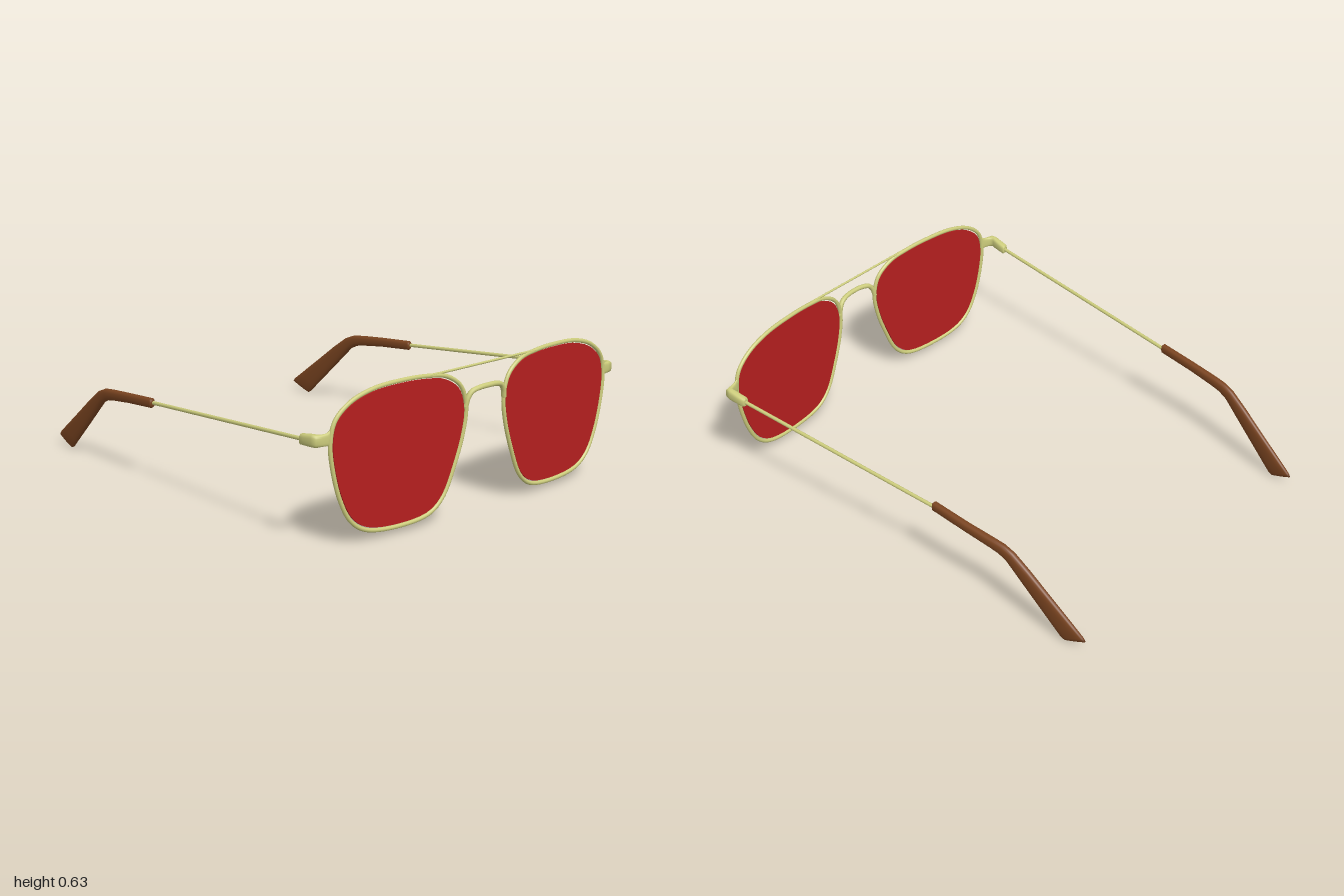
import * as THREE from 'three';

const V = (x, y, z) => new THREE.Vector3(x, y, z);
const gold = new THREE.MeshStandardMaterial({ color: 0xcccc7c });
const brown = new THREE.MeshStandardMaterial({ color: 0x7a4420 });
const red = new THREE.MeshStandardMaterial({ color: 0xb51f1f, side: THREE.DoubleSide });

// The front is swept back slightly towards the sides
const frontZ = (x) => 0.981 - 0.075 * Math.abs(x);

// Outline of one rim
const RIM = [
  [0.43, 0.624], [0.594, 0.613], [0.71, 0.575], [0.78, 0.514], [0.801, 0.43],
  [0.79, 0.326], [0.753, 0.195], [0.7, 0.1], [0.627, 0.051], [0.4625, 0.031],
  [0.298, 0.051], [0.228, 0.106], [0.167, 0.232], [0.124, 0.36], [0.111, 0.4625],
  [0.14, 0.55], [0.218, 0.603], [0.312, 0.619],
];

function add(group, name, geometry, material) {
  const mesh = new THREE.Mesh(geometry, material);
  mesh.name = name;
  group.add(mesh);
}

function tube(points, radius, closed = false, segments = 40) {
  const curve = new THREE.CatmullRomCurve3(points, closed, 'centripetal');
  return new THREE.TubeGeometry(curve, segments, radius, 10, closed);
}

// Skin over rounded-box sections { c, u, v }, with capped ends
function loft(sections, power = 0.7, n = 20) {
  const pos = [], index = [];
  const soft = (t) => Math.sign(t) * Math.abs(t) ** power;
  for (const { c, u, v } of sections) {
    for (let j = 0; j < n; j++) {
      const a = (j / n) * Math.PI * 2;
      const p = c.clone().addScaledVector(u, soft(Math.cos(a))).addScaledVector(v, soft(Math.sin(a)));
      pos.push(p.x, p.y, p.z);
    }
  }
  const last = sections.length - 1;
  for (let i = 0; i < last; i++) {
    for (let j = 0; j < n; j++) {
      const k = (j + 1) % n, a = i * n, b = a + n;
      index.push(a + j, a + k, b + k, a + j, b + k, b + j);
    }
  }
  for (let j = 1; j < n - 1; j++) {
    index.push(0, j + 1, j, last * n, last * n + j, last * n + j + 1);
  }
  const g = new THREE.BufferGeometry();
  g.setAttribute('position', new THREE.Float32BufferAttribute(pos, 3));
  g.setIndex(index);
  g.computeVertexNormals();
  return g;
}

// Thin lens following the rim outline just inside it
function lensGeometry(s) {
  const curve = new THREE.CatmullRomCurve3(RIM.map(([x, y]) =>
    V(s * (0.457 + (x - 0.457) * 0.965), 0.327 + (y - 0.327) * 0.962, 0)), true, 'centripetal');
  const shape = new THREE.Shape(curve.getPoints(80).slice(0, -1).map((p) => new THREE.Vector2(p.x, p.y)));
  const g = new THREE.ExtrudeGeometry(shape, { depth: 0.006, bevelEnabled: false });
  const p = g.attributes.position;
  for (let i = 0; i < p.count; i++) p.setZ(i, p.getZ(i) - 0.003 + frontZ(p.getX(i)));
  g.computeVertexNormals();
  return g;
}

// L-shaped end piece: out from the rim, then back to the temple
function hingeGeometry(s) {
  const rows = [ // x, y, z, turn in degrees, half height, half depth
    [0.797, 0.452, 0.919, 0, 0.034, 0.006],
    [0.815, 0.449, 0.916, 0, 0.025, 0.008],
    [0.838, 0.448, 0.91, 15, 0.024, 0.01],
    [0.856, 0.448, 0.902, 45, 0.025, 0.018],
    [0.857, 0.447, 0.885, 80, 0.026, 0.017],
    [0.852, 0.441, 0.84, 90, 0.023, 0.018],
    [0.849, 0.438, 0.815, 90, 0.022, 0.017],
    [0.848, 0.438, 0.809, 90, 0.016, 0.012],
  ];
  return loft(rows.map(([x, y, z, deg, h, d]) => {
    const t = THREE.MathUtils.degToRad(deg);
    return { c: V(s * x, y, z), u: V(0, h, 0), v: V(d * Math.sin(t), 0, s * d * Math.cos(t)) };
  }));
}

// Bent ear tip, flaring towards its end
function tipGeometry(s) {
  const rows = [ // top z, top y, bottom z, bottom y, half width
    [-0.217, 0.37, -0.217, 0.342, 0.01],
    [-0.223, 0.377, -0.223, 0.335, 0.016],
    [-0.4, 0.362, -0.4, 0.319, 0.017],
    [-0.53, 0.35, -0.525, 0.303, 0.018],
    [-0.59, 0.342, -0.57, 0.294, 0.018],
    [-0.64, 0.322, -0.61, 0.274, 0.018],
    [-0.72, 0.265, -0.67, 0.215, 0.018],
    [-0.82, 0.187, -0.75, 0.137, 0.017],
    [-0.94, 0.095, -0.845, 0.045, 0.015],
    [-0.988, 0.058, -0.88, 0.01, 0.012],
    [-1, 0.045, -0.895, 0.002, 0.006],
  ];
  const path = s > 0
    ? [[0.22, 0.762], [0.45, 0.761], [0.7, 0.742], [1, 0.721]]
    : [[0.22, 0.772], [0.45, 0.755], [0.7, 0.732], [1, 0.706]];
  const xAt = (d) => {
    let i = 0;
    while (i < 2 && d > path[i + 1][0]) i++;
    return THREE.MathUtils.mapLinear(d, path[i][0], path[i + 1][0], path[i][1], path[i + 1][1]);
  };
  return loft(rows.map(([tz, ty, bz, by, w]) => {
    const top = V(s * xAt(-tz), ty, tz), bottom = V(s * xAt(-bz), by, bz);
    return {
      c: top.clone().add(bottom).multiplyScalar(0.5),
      u: V(-w, 0, 0),
      v: top.sub(bottom).multiplyScalar(0.5),
    };
  }), 0.8);
}

export function createModel() {
  const model = new THREE.Group();
  model.name = 'glasses';

  for (const s of [1, -1]) {
    const side = s > 0 ? 'left' : 'right';
    add(model, side + 'Rim', tube(RIM.map(([x, y]) => V(s * x, y, frontZ(x))), 0.009, true, 120), gold);
    add(model, side + 'Lens', lensGeometry(s), red);
    add(model, side + 'Hinge', hingeGeometry(s), gold);
    add(model, side + 'TempleWire',
      tube([V(s * 0.849, 0.438, 0.82), V(s * 0.767, 0.356, -0.23)], 0.008, false, 4), gold);
    add(model, side + 'EarTip', tipGeometry(s), brown);
  }

  // Arched nose bridge
  const half = [[0.113, 0.46, 0.973], [0.104, 0.495, 0.976], [0.085, 0.52, 0.98], [0.045, 0.531, 0.986]];
  const bridge = [
    ...half.map(([x, y, z]) => V(-x, y, z)),
    V(0, 0.533, 0.988),
    ...half.reverse().map(([x, y, z]) => V(x, y, z)),
  ];
  add(model, 'noseBridge', tube(bridge, 0.011), gold);

  // Straight bar joining the rim tops
  add(model, 'topBar', tube([V(-0.31, 0.621, 0.962), V(0.31, 0.621, 0.962)], 0.005, false, 2), gold);

  return model;
}
